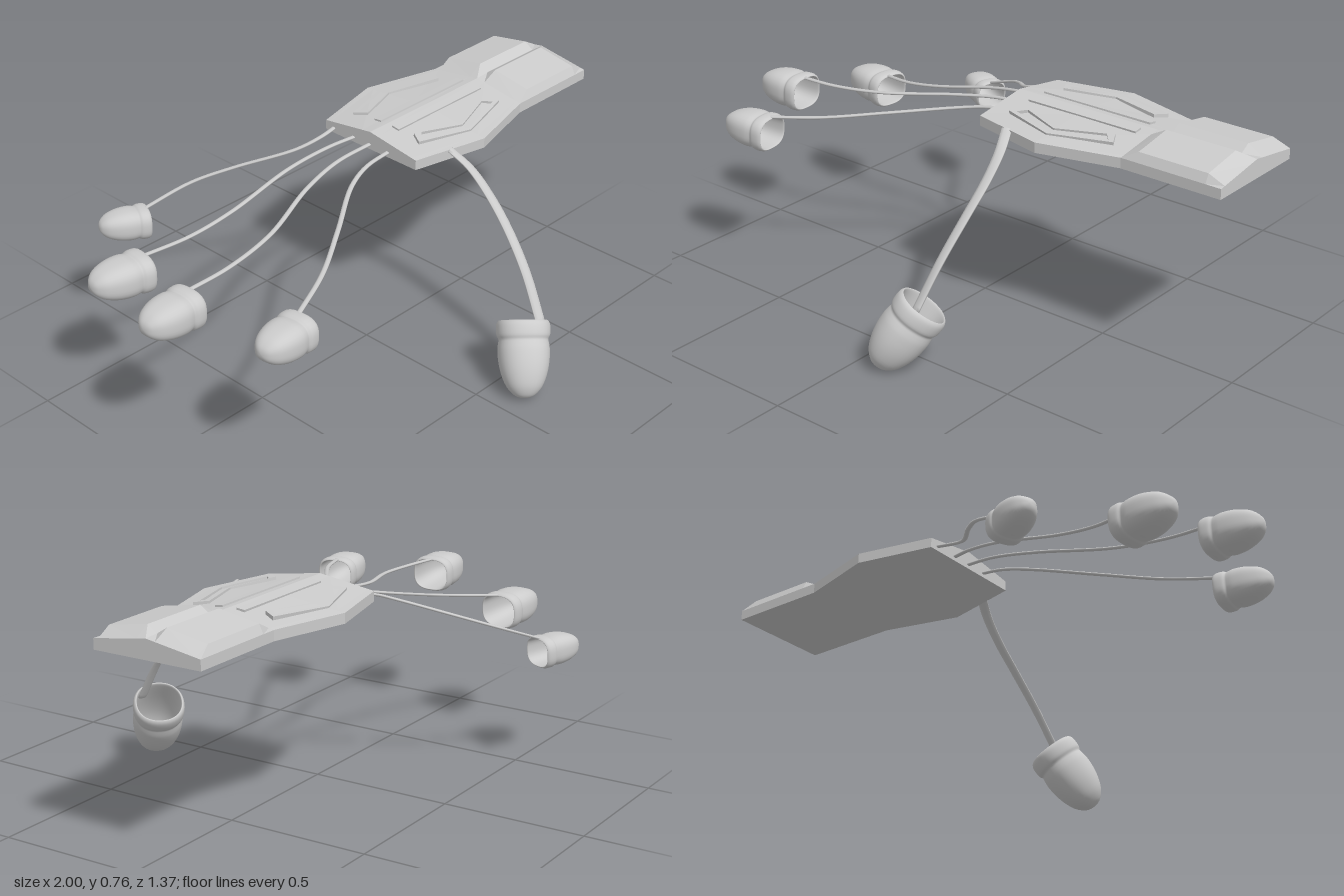
import * as THREE from 'three';
import { mergeVertices } from 'three/addons/utils/BufferGeometryUtils.js';

const V = (a) => new THREE.Vector3(...a);
const ZC = -0.07; // centre line of the hand plate

const material = (flatShading, side = THREE.FrontSide) =>
  new THREE.MeshStandardMaterial({ color: 0xcccccc, flatShading, side });
const flat = material(true);
const smooth = material(false, THREE.DoubleSide);

function add(parent, name, geometry, mat) {
  const mesh = new THREE.Mesh(geometry, mat);
  mesh.name = name;
  parent.add(mesh);
  return mesh;
}

// Closed skin over rings of equal length, with both ends capped
function loft(rings) {
  const n = rings[0].length, index = [];
  const last = (rings.length - 1) * n;
  for (let i = 0; i < rings.length - 1; i++) {
    for (let j = 0; j < n; j++) {
      const k = (j + 1) % n;
      const a = i * n + j, b = i * n + k, c = b + n, d = a + n;
      index.push(a, d, c, a, c, b);
    }
  }
  for (let j = 1; j < n - 1; j++) index.push(0, j, j + 1, last, last + j + 1, last + j);
  const g = new THREE.BufferGeometry().setFromPoints(rings.flat());
  g.setIndex(index);
  g.computeVertexNormals();
  return g;
}

// Faceted plate: symmetric cross-sections of [half width, height] along x
function plateGeometry() {
  const palm = (w) => [[w, 0.67], [w, 0.705], [w * 0.9, 0.708], [w * 0.17, 0.73], [0, 0.735]];
  const cuff = [[0.195, 0.67], [0.195, 0.705], [0.18, 0.735], [0.035, 0.76], [0, 0.738]];
  const sections = [
    [0.09, palm(0.205)], [0.36, palm(0.268)], [0.635, palm(0.195)],
    [0.69, cuff], [0.94, cuff], [0.995, palm(0.195)],
  ];
  return loft(sections.map(([x, half]) => [
    ...half.map(([h, y]) => V([x, y, ZC + h])),
    ...half.slice(0, -1).reverse().map(([h, y]) => V([x, y, ZC - h])),
  ]));
}

// Chevron rim with a slot through it, on one side of the plate
function chevronGeometry(s) {
  const outline = (x0, x1, lo, hi, rise) =>
    [[x0, lo], [0.36, lo + rise], [x1, lo], [x1 - 0.025, hi], [0.36, hi + rise], [x0 + 0.025, hi]]
      .map(([x, h]) => new THREE.Vector2(x, s * h));
  const shape = new THREE.Shape(outline(0.165, 0.575, 0.15, 0.105, 0.06));
  shape.holes.push(new THREE.Path(outline(0.19, 0.55, 0.142, 0.115, 0.057)));
  return new THREE.ExtrudeGeometry(shape, { depth: 0.012, bevelEnabled: false });
}

// Flat strap swept along a curve, its broad side kept level
function strapGeometry(points, width, thickness) {
  const curve = new THREE.CatmullRomCurve3(points.map(V));
  const up = new THREE.Vector3(0, 1, 0), rings = [];
  for (let i = 0; i <= 40; i++) {
    const p = curve.getPointAt(i / 40), t = curve.getTangentAt(i / 40);
    const w = t.clone().cross(up).normalize();
    const n = w.clone().cross(t);
    rings.push(Array.from({ length: 8 }, (_, k) => {
      const a = (k / 8) * Math.PI * 2 + Math.PI / 8;
      return p.clone().addScaledVector(w, Math.cos(a) * width / 2)
        .addScaledVector(n, Math.sin(a) * thickness / 2);
    }));
  }
  return loft(rings);
}

// Hollow fingertip cap with a rolled collar and rounded-square section
function capGeometry(rx, length, rz, squareness) {
  const outer = [
    [0.93, 0], [1, 0.04], [1.02, 0.11], [1, 0.19], [0.93, 0.24], [0.95, 0.29], [0.98, 0.38],
    [0.95, 0.54], [0.85, 0.7], [0.67, 0.85], [0.42, 0.95], [0.2, 0.99], [0, 1],
  ];
  const inner = [[0, 0.9], [0.4, 0.85], [0.7, 0.66], [0.83, 0.4], [0.86, 0.1], [0.88, 0.01]];
  const profile = new THREE.SplineCurve([...inner, ...outer].map((p) => new THREE.Vector2(...p)))
    .getPoints(54).map((p) => new THREE.Vector2(Math.max(p.x, 0), p.y));
  let g = new THREE.LatheGeometry(profile, 36);
  const pos = g.attributes.position;
  for (let i = 0; i < pos.count; i++) {
    const x = pos.getX(i), z = pos.getZ(i), r = Math.hypot(x, z);
    const q = (Math.abs(x) ** squareness + Math.abs(z) ** squareness) ** (1 / squareness);
    const k = q > 1e-6 ? r / q : 1;
    pos.setXYZ(i, x * k * rx, pos.getY(i) * length, z * k * rz);
  }
  g.deleteAttribute('uv');
  g.deleteAttribute('normal');
  g = mergeVertices(g, 1e-5);
  g.computeVertexNormals();
  return g;
}

// Cap placed from the centre of its opening to its tip
function addCap(parent, name, open, tip, rx, rz, squareness) {
  const y = V(tip).sub(V(open)), length = y.length();
  y.normalize();
  const z = new THREE.Vector3(0, 1, 0).addScaledVector(y, -y.y).normalize();
  const cap = add(parent, name, capGeometry(rx, length, rz, squareness), smooth);
  cap.quaternion.setFromRotationMatrix(
    new THREE.Matrix4().makeBasis(y.clone().cross(z), y, z));
  cap.position.copy(V(open));
}

const FINGERS = [
  { name: 'indexFinger', open: [-0.65, 0.515, 0.35], tip: [-0.838, 0.525, 0.372], r: [0.071, 0.06],
    path: [[0.11, 0.69, 0.01], [0, 0.67, 0.002], [-0.1, 0.65, 0.03], [-0.3, 0.62, 0.16],
      [-0.48, 0.592, 0.27], [-0.67, 0.57, 0.352]] },
  { name: 'middleFinger', open: [-0.803, 0.527, 0.028], tip: [-1, 0.535, 0.036], r: [0.074, 0.063],
    path: [[0.11, 0.69, -0.07], [-0.04, 0.665, -0.095], [-0.2, 0.64, -0.075], [-0.45, 0.61, 0.01],
      [-0.65, 0.592, 0.035], [-0.82, 0.583, 0.03]] },
  { name: 'ringFinger', open: [-0.703, 0.46, -0.31], tip: [-0.905, 0.47, -0.335], r: [0.075, 0.063],
    path: [[0.11, 0.69, -0.14], [0, 0.67, -0.18], [-0.15, 0.635, -0.215], [-0.4, 0.575, -0.225],
      [-0.56, 0.542, -0.25], [-0.72, 0.515, -0.305]] },
  { name: 'littleFinger', open: [-0.455, 0.415, -0.592], tip: [-0.61, 0.425, -0.66], r: [0.06, 0.053],
    path: [[0.11, 0.69, -0.24], [0.03, 0.675, -0.242], [-0.05, 0.645, -0.28], [-0.2, 0.575, -0.435],
      [-0.31, 0.525, -0.53], [-0.47, 0.46, -0.598]] },
];

export function createModel() {
  const model = new THREE.Group();
  model.name = 'handFrame';

  // Back-of-hand plate with raised cuff, slotted rims and centre ribs
  const plate = new THREE.Group();
  plate.name = 'backPlate';
  model.add(plate);
  add(plate, 'plateBody', plateGeometry().toNonIndexed(), flat);
  for (const s of [1, -1]) {
    const rim = add(plate, 'chevronRim', chevronGeometry(s), flat);
    rim.position.set(0, 0.731, ZC);
    rim.rotation.x = -Math.PI / 2 - s * 0.12;
    const rib = add(plate, 'centreRib', new THREE.BoxGeometry(0.42, 0.012, 0.03), flat);
    rib.position.set(0.38, 0.73, ZC + s * 0.04);
    rib.rotation.x = s * 0.12;
  }

  // Four fingers reaching to -x
  for (const f of FINGERS) {
    const finger = new THREE.Group();
    finger.name = f.name;
    model.add(finger);
    add(finger, 'strap', strapGeometry(f.path, 0.017, 0.01), smooth);
    addCap(finger, 'fingertipCap', f.open, f.tip, ...f.r, 2.8);
  }

  // Thumb hanging forward and down on a wider strap
  const thumb = new THREE.Group();
  thumb.name = 'thumb';
  model.add(thumb);
  add(thumb, 'strap', strapGeometry([[0.225, 0.705, 0.165], [0.25, 0.65, 0.235], [0.257, 0.58, 0.31],
    [0.25, 0.49, 0.4], [0.232, 0.37, 0.5], [0.207, 0.225, 0.592]], 0.036, 0.012), smooth);
  addCap(thumb, 'thumbCap', [0.19, 0.213, 0.532], [0.082, 0.008, 0.64], 0.088, 0.088, 2.2);

  return model;
}
